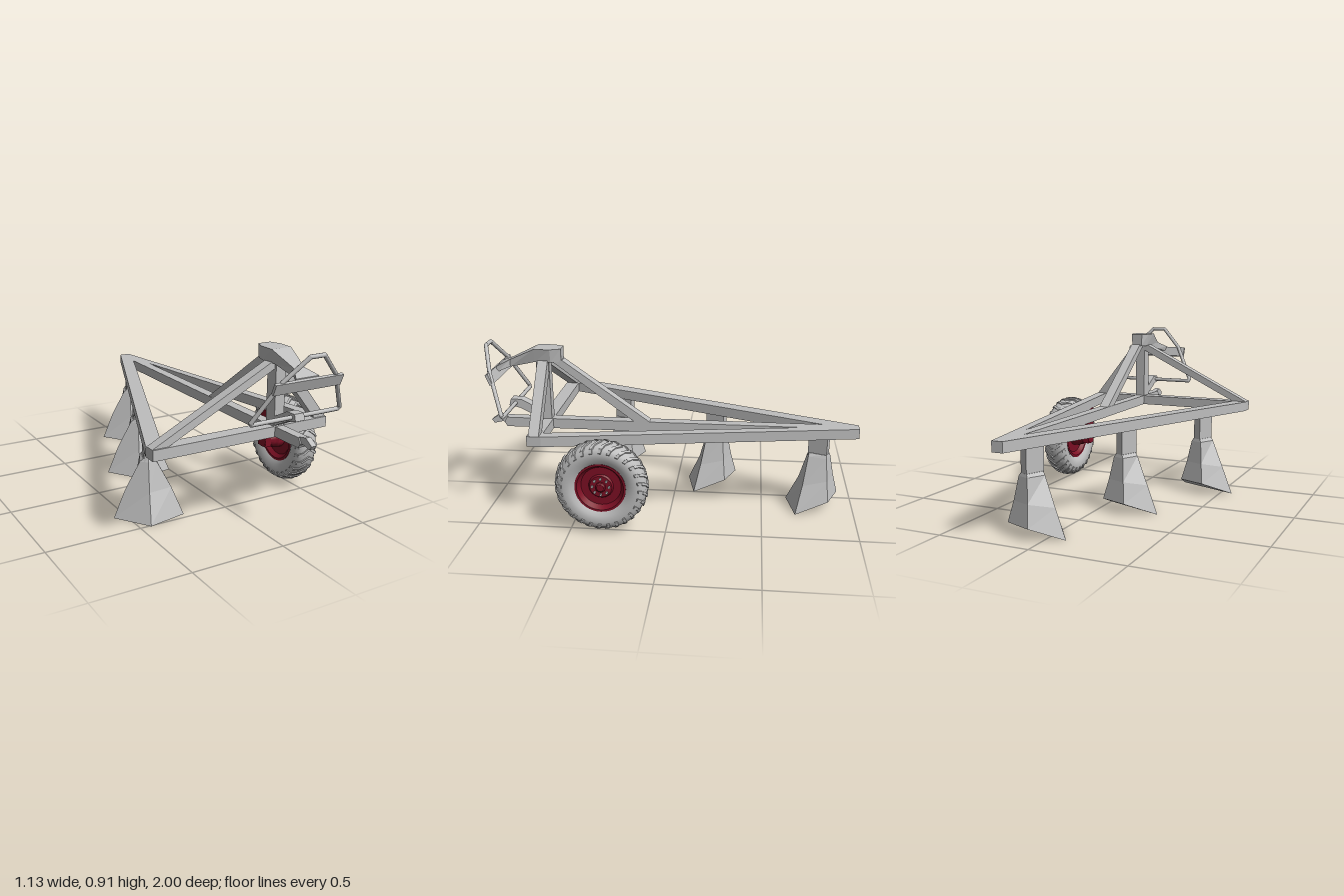
import * as THREE from 'three';
import { toCreasedNormals } from 'three/addons/utils/BufferGeometryUtils.js';

const steel = new THREE.MeshStandardMaterial({ color: 0xbebebe });
steel.name = 'grey steel';
const red = new THREE.MeshStandardMaterial({ color: 0x7d0f24 });
red.name = 'dark red';
const MID = 0.157; // x of the centre beam

function add(parent, name, geometry, material = steel) {
  const mesh = new THREE.Mesh(geometry, material);
  mesh.name = name;
  parent.add(mesh);
  return mesh;
}

const shapeOf = (pts) => new THREE.Shape(pts.map(([a, b]) => new THREE.Vector2(a, b)));
const extrude = (shape, depth) => new THREE.ExtrudeGeometry(shape, { depth, bevelEnabled: false });

// side profile of [z, y] points, extruded across x
function sideProfile(pts, x0, x1) {
  return extrude(shapeOf(pts), x1 - x0).rotateY(-Math.PI / 2).translate(x1, 0, 0);
}

// flat-shaded solid through equal-length closed sections, always wound outwards
function loft(sections) {
  const n = sections[0].length, tris = [];
  for (let s = 0; s < sections.length - 1; s++) {
    for (let i = 0; i < n; i++) {
      const j = (i + 1) % n, a = sections[s], b = sections[s + 1];
      tris.push([a[i], a[j], b[j]], [a[i], b[j], b[i]]);
    }
  }
  const first = sections[0], last = sections[sections.length - 1];
  for (let i = 1; i < n - 1; i++) {
    tris.push([first[0], first[i + 1], first[i]], [last[0], last[i], last[i + 1]]);
  }
  const v = (p) => new THREE.Vector3(...p);
  const volume = tris.reduce((sum, [a, b, c]) => sum + v(a).sub(v(first[0])).dot(v(b).sub(v(first[0])).cross(v(c).sub(v(first[0])))), 0);
  if (volume < 0) tris.forEach((t) => t.reverse());
  const g = new THREE.BufferGeometry();
  g.setAttribute('position', new THREE.Float32BufferAttribute(tris.flat(2), 3));
  g.computeVertexNormals();
  return g;
}

// lathe of [radius, axial] points about the x axis
function axle(pts, segments = 40) {
  const g = new THREE.LatheGeometry(pts.map(([r, y]) => new THREE.Vector2(r, y)), segments);
  return toCreasedNormals(g.rotateZ(-Math.PI / 2), 0.6);
}

function buildFrame(root) {
  const g = new THREE.Group();
  g.name = 'frame';
  root.add(g);

  // triangular base with two openings either side of the centre beam
  const flat = (pts) => pts.map(([x, z]) => [x, -z]);
  const base = shapeOf(flat([[-0.545, 0.725], [0.46, 0.725], [0.46, 0.65], [0.185, -1], [0.125, -1], [-0.545, 0.65]]));
  base.holes.push(
    shapeOf(flat([[-0.46, 0.65], [0.128, 0.65], [0.128, -0.81]])),
    shapeOf(flat([[0.185, 0.65], [0.4, 0.65], [0.185, -0.7]])));
  add(g, 'triangularBase', extrude(base, 0.055).rotateX(-Math.PI / 2).translate(0, 0.443, 0));

  // post and its braces
  add(g, 'post', new THREE.BoxGeometry(0.057, 0.34, 0.07).translate(MID, 0.66, 0.692));
  const left = shapeOf([[0.39, 0.497], [0.46, 0.497], [0.2, 0.83], [0.17, 0.83], [0.17, 0.775]]);
  const right = shapeOf([[-0.545, 0.497], [-0.46, 0.497], [0.14, 0.795], [0.14, 0.84]]);
  add(g, 'leftBrace', extrude(left, 0.055).translate(0, 0, 0.66));
  add(g, 'rightBrace', extrude(right, 0.055).translate(0, 0, 0.66));
  add(g, 'rearBrace', sideProfile([[0.65, 0.83], [0.585, 0.83], [0.115, 0.495], [0.2, 0.495]], 0.129, 0.185));
}

function buildHitch(root) {
  const g = new THREE.Group();
  g.name = 'hitch';
  root.add(g);

  // head, stations of [z, half width at top, half width below, top y, bottom y]
  const stations = [
    [0.59, 0.035, 0.03, 0.893, 0.82], [0.645, 0.057, 0.045, 0.893, 0.82], [0.73, 0.057, 0.04, 0.893, 0.82],
    [0.87, 0.03, 0.03, 0.827, 0.787], [0.935, 0.068, 0.06, 0.797, 0.765]];
  add(g, 'head', loft(stations.map(([z, a, b, t, u]) =>
    [[MID - 0.005 - a, t, z], [MID - 0.005 + a, t, z], [MID - 0.005 + b, u, z], [MID - 0.005 - b, u, z]])));

  const bar = add(g, 'crossbar', new THREE.BoxGeometry(0.395, 0.06, 0.016));
  bar.position.set(0.158, 0.763, 0.935);
  bar.rotation.x = 0.39;

  // leaning tube hoop
  const outline = [[0.12, 0.908], [0.2, 0.908], [0.315, 0.792], [0.423, 0.595], [0.415, 0.583],
    [-0.1, 0.583], [-0.107, 0.595], [0.002, 0.792]];
  const pts = outline.map(([x, y]) => new THREE.Vector3(x, y, 0.855 + (y - 0.583) * 0.41));
  pts.forEach((p, i) => {
    const q = pts[(i + 1) % pts.length];
    const tube = add(g, 'hoopTube', new THREE.CylinderGeometry(0.011, 0.011, p.distanceTo(q), 10));
    tube.position.copy(p).lerp(q, 0.5);
    tube.quaternion.setFromUnitVectors(new THREE.Vector3(0, 1, 0), q.clone().sub(p).normalize());
    add(g, 'hoopBend', new THREE.SphereGeometry(0.011, 10, 6)).position.copy(p);
  });

  add(g, 'lowerArm', sideProfile([[0.72, 0.5], [0.83, 0.555], [0.89, 0.57], [0.88, 0.605], [0.82, 0.603], [0.72, 0.55]], 0.129, 0.185));
  add(g, 'drawbar', sideProfile([[0.72, 0.445], [0.91, 0.445], [0.925, 0.47], [0.91, 0.497], [0.72, 0.497]], 0.135, 0.185));
  add(g, 'drawbarHook', sideProfile([[0.9, 0.445], [0.935, 0.47], [0.985, 0.457], [1.0, 0.478], [0.955, 0.508], [0.9, 0.497]], 0.142, 0.173));
}

function buildPlough(root, index) {
  const g = new THREE.Group();
  g.name = 'plough' + (index + 1);
  g.position.set(-0.378 + 0.2335 * index, 0, 0.345 - 0.573 * index);
  g.rotation.y = -0.384; // in line with the slanting beam
  root.add(g);
  add(g, 'shank', new THREE.BoxGeometry(0.043, 0.16, 0.106).translate(0, 0.365, 0));

  // flared share: wing, nose, wing, heel, heel at each level
  const section = ([wx, wy, wz, nose, noseY, hx, hy, hz]) =>
    [[-wx, wy, wz], [0, noseY, nose], [wx, wy, wz], [hx, hy, hz], [-hx, hy, hz]];
  const levels = [
    [0.18, 0.005, 0.055, 0.175, 0.005, 0.08, 0.07, -0.095],
    [0.118, 0.155, 0.042, 0.105, 0.155, 0.055, 0.18, -0.075],
    [0.042, 0.302, 0.042, 0.062, 0.302, 0.034, 0.302, -0.058],
    [0.025, 0.318, 0.045, 0.054, 0.318, 0.024, 0.318, -0.054]];
  add(g, 'share', loft(levels.map(section)));
}

function buildWheel(root) {
  const g = new THREE.Group();
  g.name = 'wheel';
  g.position.set(0.495, 0.263, 0.33);
  root.add(g);

  const half = [[0.13, 0.045], [0.155, 0.062], [0.19, 0.067], [0.215, 0.06], [0.232, 0.04], [0.238, 0]];
  const profile = [...half.map(([r, x]) => [r, -x]), ...half.slice(0, -1).reverse(), [0.13, -0.045]];
  add(g, 'tyre', axle(profile, 56));

  // chevron lugs, each arm swept from the crown over the shoulder
  const path = [[0, 0.236, 0], [0.038, 0.229, 0.12], [0.057, 0.214, 0.18], [0.064, 0.198, 0.2]];
  const count = 28;
  for (let i = 0; i < count; i++) {
    for (const side of [-1, 1]) {
      const start = (i / count) * Math.PI * 2;
      const sections = path.map(([x, r, swing], k) => {
        const lift = k === 3 ? 0.004 : 0.01, out = k > 1 ? 0.004 : 0;
        return [[-0.045, 0], [0.045, 0], [0.035, 1], [-0.035, 1]].map(([da, up]) => {
          const a = start - swing + da, rr = r - 0.004 + up * (lift + 0.003);
          return [side * (x + up * out), Math.sin(a) * rr, Math.cos(a) * rr];
        });
      });
      add(g, 'treadLug', loft(sections));
    }
  }

  add(g, 'rim', axle([[0, -0.03], [0.1, -0.03], [0.12, -0.05], [0.133, -0.05], [0.133, 0.05], [0.122, 0.05],
    [0.105, 0.02], [0.065, 0.02], [0.058, 0.03], [0, 0.03]]), red);
  add(g, 'hub', axle([[0, -0.147], [0.035, -0.147], [0.035, -0.11], [0.046, -0.092], [0.046, -0.08],
    [0.054, -0.068], [0.054, -0.02], [0, -0.02]]), red);
  add(g, 'hubCap', axle([[0, 0.02], [0.026, 0.02], [0.026, 0.042], [0.018, 0.048], [0, 0.048]], 20), red);
  for (let i = 0; i < 8; i++) {
    const a = (i / 8) * Math.PI * 2;
    const bolt = add(g, 'wheelBolt', new THREE.CylinderGeometry(0.007, 0.007, 0.012, 6).rotateZ(Math.PI / 2));
    bolt.position.set(0.034, Math.sin(a) * 0.044, Math.cos(a) * 0.044);
  }

  // leg joining the hub to the frame
  add(g, 'wheelLeg', new THREE.BoxGeometry(0.039, 0.215, 0.07).translate(-0.127, 0.075, 0), red);
}

export function createModel() {
  const root = new THREE.Group();
  root.name = 'plough';
  buildFrame(root);
  buildHitch(root);
  for (let i = 0; i < 3; i++) buildPlough(root, i);
  buildWheel(root);
  return root;
}
